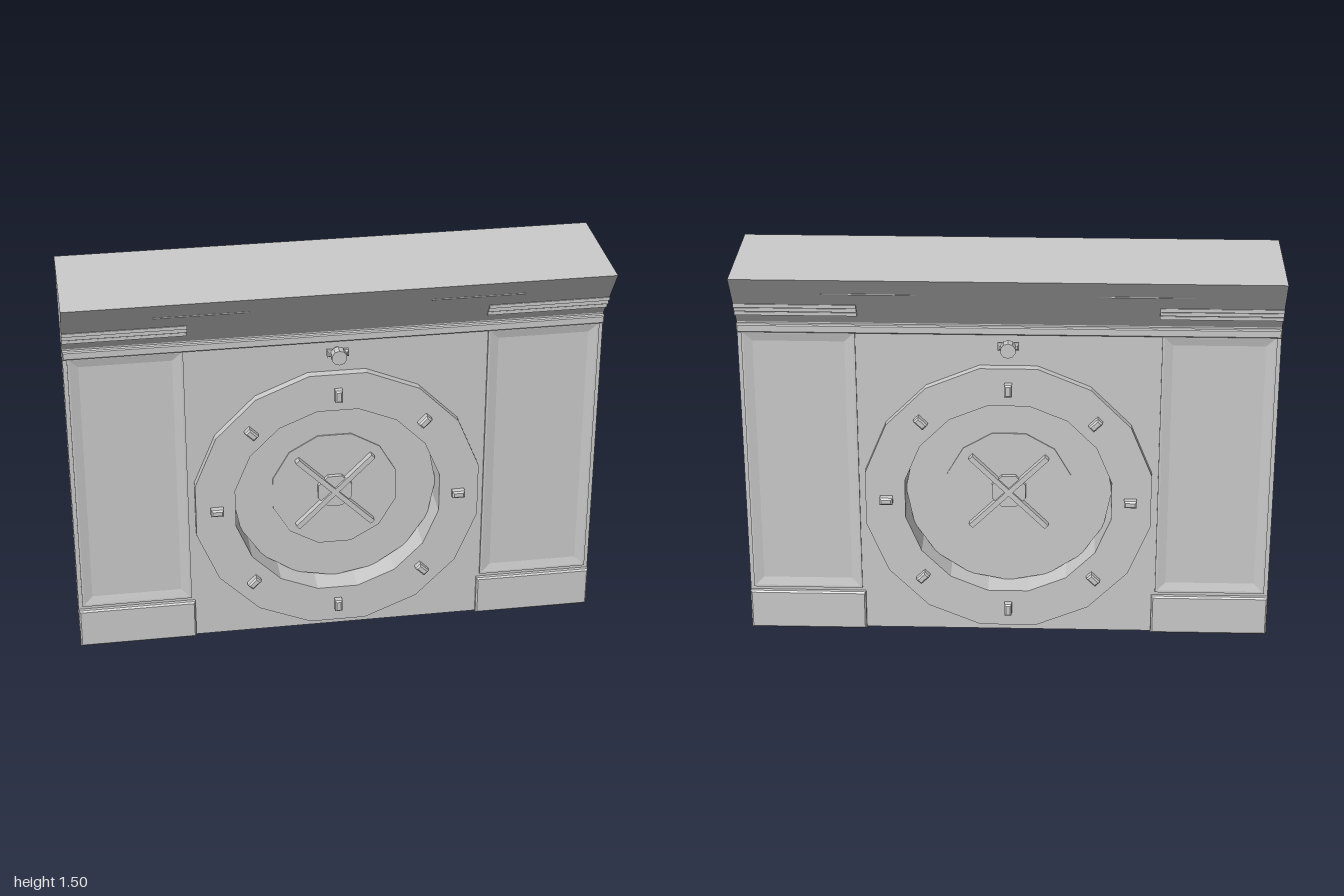
import * as THREE from 'three';

const CY = 0.576;      // centre height of the round window
const WALL = 0.077;    // half thickness of the wall
const mat = new THREE.MeshStandardMaterial({ color: 0xcccccc, flatShading: true, side: THREE.DoubleSide });

function add(parent, name, geo, x = 0, y = 0, z = 0) {
  const m = new THREE.Mesh(geo, mat);
  m.name = name;
  m.position.set(x, y, z);
  parent.add(m);
  return m;
}

// regular polygon outline with flats at top and sides
function polygon(path, apothem, n, cy = 0) {
  const r = apothem / Math.cos(Math.PI / n);
  for (let i = 0; i < n; i++) {
    const a = (i + 0.5) * 2 * Math.PI / n;
    const p = [r * Math.cos(a), cy + r * Math.sin(a)];
    if (i) path.lineTo(...p); else path.moveTo(...p);
  }
  path.closePath();
  return path;
}

function extrude(shape, depth) {
  return new THREE.ExtrudeGeometry(shape, { depth, bevelEnabled: false });
}

// box with chamfered edges, centred on the origin
function chamferBox(w, h, d, c) {
  const s = new THREE.Shape();
  const x = w / 2 - c, y = h / 2 - c;
  s.moveTo(-x, -y).lineTo(x, -y).lineTo(x, y).lineTo(-x, y).closePath();
  const g = new THREE.ExtrudeGeometry(s, {
    depth: d - 2 * c, bevelEnabled: true, bevelThickness: c, bevelSize: c, bevelSegments: 1,
  });
  g.translate(0, 0, -d / 2 + c);
  return g;
}

// prism lying along z
function drum(r, depth, n, turn = 0) {
  return new THREE.CylinderGeometry(r, r, depth, n).rotateX(Math.PI / 2).rotateZ(turn);
}

// panel with a raised rim and sloping sides down to a sunken field
function dishPanel(w, h) {
  const loops = [[0, WALL - 0.01], [0, 0.086], [0.008, 0.086], [0.04, 0.0785]];
  const pos = [], idx = [];
  for (const [inset, z] of loops) {
    const x = w / 2 - inset, y = h / 2 - inset;
    pos.push(-x, -y, z, x, -y, z, x, y, z, -x, y, z);
  }
  for (let k = 0; k < loops.length - 1; k++) {
    for (let i = 0; i < 4; i++) {
      const a = k * 4 + i, b = k * 4 + (i + 1) % 4;
      idx.push(a, b, b + 4, a, b + 4, a + 4);
    }
  }
  const e = (loops.length - 1) * 4;
  idx.push(e, e + 1, e + 2, e, e + 2, e + 3);
  const g = new THREE.BufferGeometry();
  g.setAttribute('position', new THREE.Float32BufferAttribute(pos, 3));
  g.setIndex(idx);
  const flat = g.toNonIndexed();
  flat.computeVertexNormals();
  return flat;
}

// z of the sloping cornice face at height y
const slopeZ = (y) => WALL + (y - 1.28) * (0.235 - WALL) / (1.505 - 1.28);

// everything fixed to one face of the wall
function createFace() {
  const face = new THREE.Group();

  // raised ring around the window
  const ring = polygon(new THREE.Shape(), 0.54, 16);
  ring.holes.push(polygon(new THREE.Path(), 0.39, 16));
  add(face, 'windowRing', extrude(ring, 0.11 - WALL), 0, CY, WALL);

  // studs around the ring
  for (let i = 0; i < 8; i++) {
    const a = i * Math.PI / 4;
    const stud = add(face, 'ringStud', chamferBox(0.048, 0.028, 0.034, 0.006),
      0.461 * Math.cos(a), CY + 0.461 * Math.sin(a), 0.125);
    stud.rotation.z = a;
  }

  // knob above the window
  add(face, 'knobStem', drum(0.013, 0.06, 8), 0, 1.202, 0.095);
  add(face, 'knobHead', drum(0.029, 0.038, 10), 0, 1.202, 0.128);
  add(face, 'knobCrossbar', chamferBox(0.08, 0.026, 0.026, 0.006), 0, 1.202, 0.1);

  // moulding under the cornice
  add(face, 'moulding', chamferBox(2, 0.032, 0.03, 0.004), 0, 1.259, 0.08);

  for (const side of [-1, 1]) {
    // pilaster panel and plinth
    add(face, 'pilasterPanel', dishPanel(0.42, 1.07), side * 0.775, 0.71, 0);
    add(face, 'plinth', chamferBox(0.448, 0.16, 0.06, 0.006), side * 0.776, 0.08, 0.066);

    // stepped strips on the cornice
    for (const y of [1.328, 1.349, 1.369]) {
      add(face, 'corniceStrip', new THREE.BoxGeometry(0.448, 0.013, 0.04),
        side * 0.776, y, slopeZ(y) - 0.012);
    }
    // fine ledge on the cornice
    add(face, 'corniceLedge', new THREE.BoxGeometry(0.345, 0.004, 0.03),
      side * 0.503, 1.433, slopeZ(1.433) - 0.012);
  }
  return face;
}

export function createModel() {
  const model = new THREE.Group();
  model.name = 'wallWithRoundWindow';

  // wall with a round opening
  const wall = new THREE.Shape();
  wall.moveTo(-1, 0).lineTo(1, 0).lineTo(1, 1.28).lineTo(-1, 1.28).closePath();
  wall.holes.push(polygon(new THREE.Path(), 0.39, 16, CY));
  add(model, 'wall', extrude(wall, 2 * WALL), 0, 0, -WALL);

  // flared cornice, its section drawn across the wall
  const section = new THREE.Shape();
  section.moveTo(-WALL, 1.28).lineTo(WALL, 1.28).lineTo(0.235, 1.505).lineTo(-0.235, 1.505).closePath();
  add(model, 'cornice', extrude(section, 2).rotateY(Math.PI / 2), -1, 0, 0);

  // round shutter set inside the opening, built evenly to both faces
  const shutter = new THREE.Group();
  shutter.name = 'shutter';
  shutter.position.y = CY;
  add(shutter, 'shutterDisc', drum(0.393, 0.036, 16, Math.PI / 2));
  add(shutter, 'innerDisc', drum(0.245, 0.046, 12, Math.PI / 12));
  add(shutter, 'hub', drum(0.07, 0.08, 8, Math.PI / 8));
  for (const a of [-1, 1]) {
    add(shutter, 'crossBar', new THREE.BoxGeometry(0.41, 0.02, 0.1)).rotation.z = a * Math.PI / 4;
  }
  model.add(shutter);

  // matching front and back
  const front = createFace();
  front.name = 'frontFace';
  const back = createFace();
  back.name = 'backFace';
  back.rotation.y = Math.PI;
  model.add(front, back);
  return model;
}
